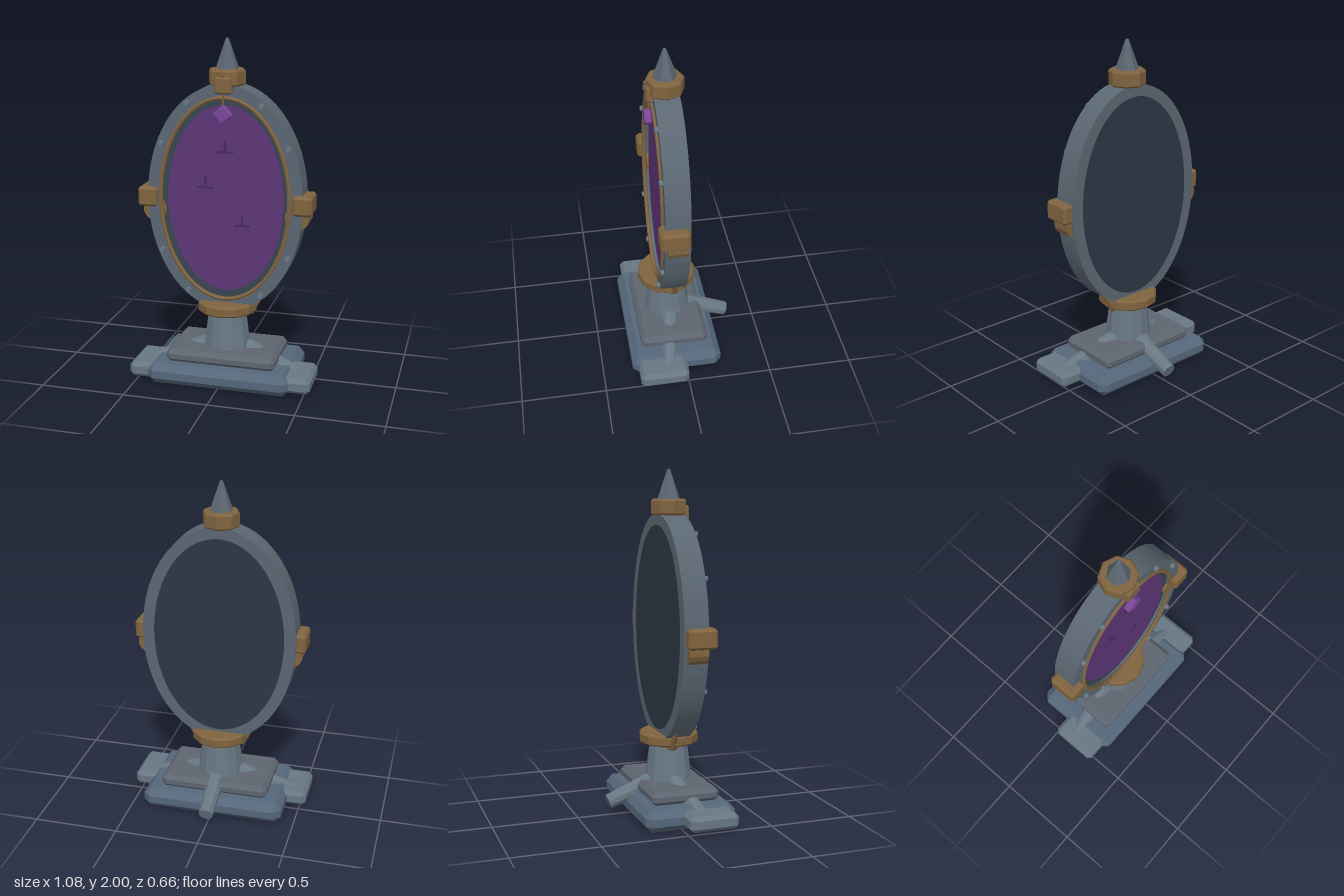
import * as THREE from 'three';
import { ConvexGeometry } from 'three/addons/geometries/ConvexGeometry.js';

const mat = (color) => new THREE.MeshStandardMaterial({ color, flatShading: true });
const STEEL = mat(0x5b6772), BASE = mat(0x55677a), SLAB = mat(0x5d6570), PALE = mat(0x687783);
const BRONZE = mat(0x80643f), DARK = mat(0x2d3645), PANE = mat(0x5d3577), GEM = mat(0x7a4699), MARK = mat(0x4a2a62);

const CY = 1.09; // centre height of the oval
const CZ = 0.057; // depth of the central axis

export function createModel() {
  const root = new THREE.Group();
  root.name = 'standingMirror';

  const add = (name, geo, material, x = 0, y = 0, z = 0) => {
    const m = new THREE.Mesh(geo, material);
    m.name = name;
    m.position.set(x, y, z);
    root.add(m);
    return m;
  };

  // Box with every edge chamfered by c, given by its extents
  const chamferBox = (name, material, [x0, x1], [y0, y1], [z0, z1], c) => {
    const h = [(x1 - x0) / 2, (y1 - y0) / 2, (z1 - z0) / 2];
    const pts = [];
    for (const sx of [-1, 1]) for (const sy of [-1, 1]) for (const sz of [-1, 1])
      for (let k = 0; k < 3; k++) {
        const d = h.map((v, i) => (i === k ? v : v - c));
        pts.push(new THREE.Vector3(sx * d[0], sy * d[1], sz * d[2]));
      }
    return add(name, new ConvexGeometry(pts), material, (x0 + x1) / 2, (y0 + y1) / 2, (z0 + z1) / 2);
  };

  // Tapered round bar between two points
  const bar = (name, material, a, b, ra, rb, sides = 10) => {
    const p = new THREE.Vector3(...a), q = new THREE.Vector3(...b);
    const m = add(name, new THREE.CylinderGeometry(rb, ra, p.distanceTo(q), sides), material);
    m.position.copy(p).lerp(q, 0.5);
    m.quaternion.setFromUnitVectors(new THREE.Vector3(0, 1, 0), q.sub(p).normalize());
    return m;
  };

  // Turned part about the central axis
  const turned = (name, material, profile, sides) =>
    add(name, new THREE.LatheGeometry(profile.map(([r, y]) => new THREE.Vector2(r, y)), sides), material, 0, 0, CZ);

  // Oval plate, optionally with an oval hole
  const oval = (name, material, rx, ry, z0, z1, hole) => {
    const s = new THREE.Shape();
    s.absellipse(0, 0, rx, ry, 0, Math.PI * 2);
    if (hole) {
      const p = new THREE.Path();
      p.absellipse(0, 0, hole[0], hole[1], 0, Math.PI * 2, true);
      s.holes.push(p);
    }
    const g = new THREE.ExtrudeGeometry(s, { depth: z1 - z0, bevelEnabled: false, curveSegments: 40 });
    return add(name, g, material, 0, CY, z0);
  };

  // Stepped base
  chamferBox('baseSlab', BASE, [-0.425, 0.425], [0, 0.125], [-0.215, 0.325], 0.04);
  chamferBox('upperSlab', SLAB, [-0.325, 0.325], [0.12, 0.2], [-0.147, 0.257], 0.025);
  bar('rearStrut', PALE, [0, 0.2, 0], [0, 0.078, -0.315], 0.055, 0.043);

  // Column and its collar
  turned('column', PALE, [[0, 0.19], [0.14, 0.19], [0.11, 0.43], [0, 0.43]], 12);
  turned('columnCollar', BRONZE,
    [[0, 0.415], [0.165, 0.415], [0.175, 0.425], [0.175, 0.468], [0.163, 0.48], [0, 0.48]], 12);

  // Oval frame, backing, pane and trim
  oval('frame', STEEL, 0.455, 0.66, -0.014, 0.128, [0.383, 0.592]);
  oval('backing', DARK, 0.386, 0.595, -0.016, 0.08);
  oval('innerRing', mat(0x384550), 0.384, 0.593, 0.075, 0.1, [0.335, 0.535]);
  oval('pane', PANE, 0.34, 0.542, 0.06, 0.106);
  const trimPoints = [];
  for (let i = 0; i < 40; i++) {
    const a = (i / 40) * Math.PI * 2;
    trimPoints.push(new THREE.Vector3(0.377 * Math.cos(a), 0.587 * Math.sin(a), 0));
  }
  const trimPath = new THREE.CatmullRomCurve3(trimPoints, true);
  add('trim', new THREE.TubeGeometry(trimPath, 64, 0.012, 6, true), BRONZE, 0, CY, 0.13);

  // Crown with spike
  turned('crownCollar', BRONZE,
    [[0, 1.74], [0.096, 1.74], [0.106, 1.75], [0.106, 1.82], [0.096, 1.832], [0, 1.832]], 8);
  turned('spike', STEEL, [[0.07, 1.825], [0.014, 1.983], [0.009, 1.996], [0, 2]], 6);

  // Hook, cord and hanging gem
  chamferBox('hook', BRONZE, [-0.05, 0.05], [1.7, 1.795], [0.11, 0.167], 0.01);
  bar('cord', BRONZE, [0, 1.71, 0.147], [0, 1.62, 0.147], 0.005, 0.005, 6);
  chamferBox('gem', GEM, [-0.042, 0.042], [1.546, 1.626], [0.135, 0.174], 0.008).rotation.z = 0.7;

  // Raised marks on the pane
  for (const [x, y] of [[0, 1.365], [-0.115, 1.157], [0.1, 0.943]]) {
    add('markBar', new THREE.BoxGeometry(0.09, 0.012, 0.014), MARK, x, y, 0.108);
    add('markStem', new THREE.BoxGeometry(0.012, 0.066, 0.014), MARK, x, y + 0.035, 0.108);
  }

  // Mirrored parts
  for (const s of [-1, 1]) {
    const span = (a, b) => (s > 0 ? [a, b] : [-b, -a]);
    chamferBox('sideFoot', PALE, span(0.36, 0.54), [0.02, 0.11], [0, 0.29], 0.022);
    bar('sideStrut', PALE, [s * 0.08, 0.198, 0.05], [s * 0.47, 0.062, 0.115], 0.055, 0.042);
    chamferBox('sideClamp', BRONZE, span(0.395, 0.508), [1.033, 1.147], [-0.005, 0.163], 0.014);
    const roller = add('clampRoller', new THREE.CylinderGeometry(0.07, 0.07, 0.113, 14), BRONZE, s * 0.42, 1.012, 0.06);
    roller.rotation.x = Math.PI / 2;
    bar('claw', BRONZE, [s * 0.125, 0.412, 0.033], [s * 0.215, 0.52, 0.033], 0.035, 0.004, 8);
    for (const [x, dy] of [[0.215, 0.55], [0.37, 0.315]])
      for (const t of [-1, 1])
        bar('stud', PALE, [s * x, CY + t * dy, 0.12], [s * x, CY + t * dy, 0.148], 0.017, 0.015, 8);
  }
  return root;
}
